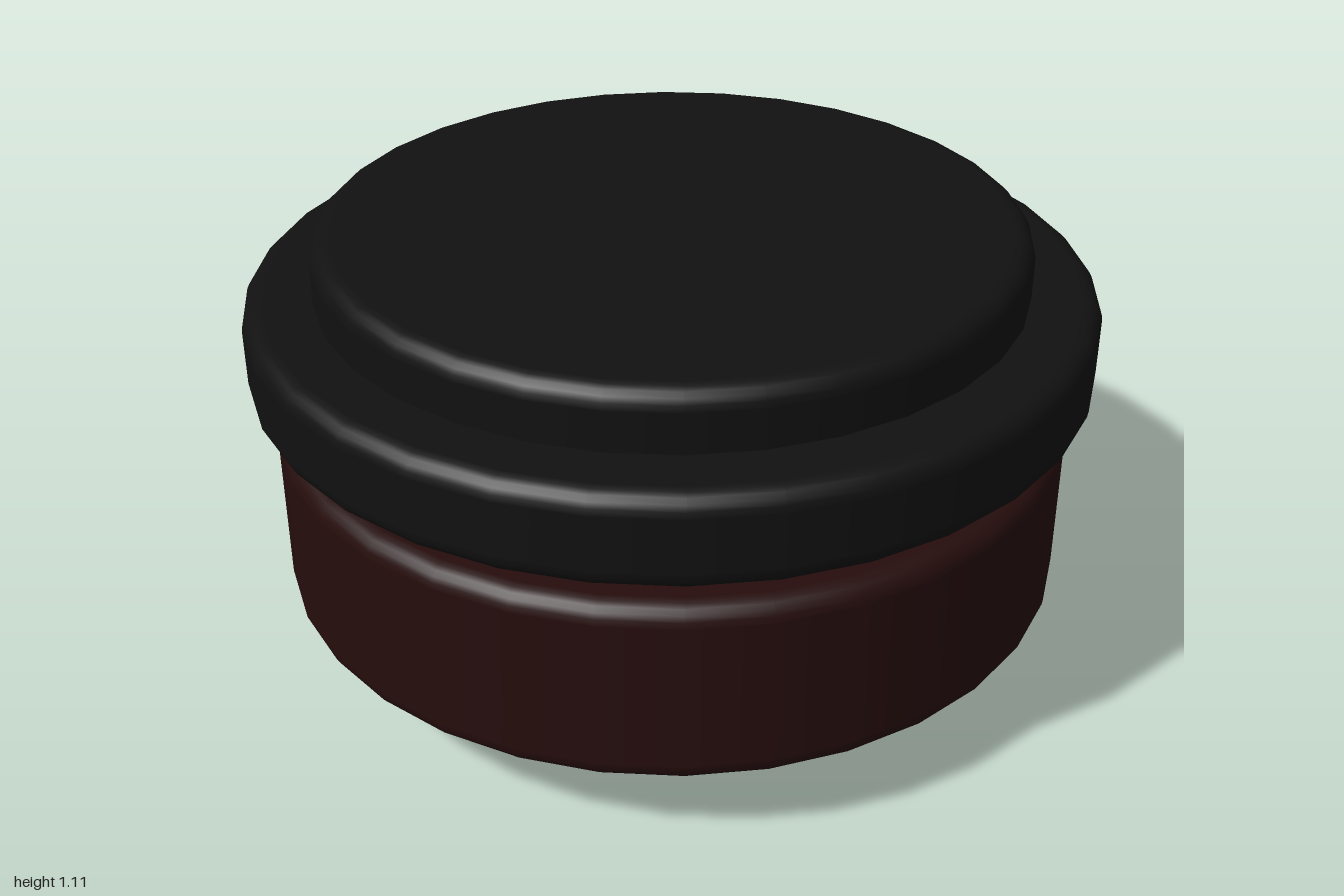
import * as THREE from 'three';

const SEGMENTS = 32;
const black = new THREE.MeshStandardMaterial({ color: 0x111111 });
const darkRed = new THREE.MeshStandardMaterial({ color: 0x260d0d });

// Solid disc with rounded rims, turned from a bottom-to-top profile
function roundedDisc(name, radius, bottom, top, round, material) {
  const support = 0.002; // extra points beside the arcs keep the flats flat
  const inner = radius - round;
  const points = [new THREE.Vector2(0, bottom), new THREE.Vector2(inner - support, bottom)];
  const arc = (centreY, start) => {
    for (let i = 0; i <= 5; i++) {
      const a = start + (i / 5) * Math.PI / 2;
      points.push(new THREE.Vector2(inner + round * Math.cos(a), centreY + round * Math.sin(a)));
    }
  };
  arc(bottom + round, -Math.PI / 2);
  points.push(new THREE.Vector2(radius, bottom + round + support));
  points.push(new THREE.Vector2(radius, top - round - support));
  arc(top - round, 0);
  points.push(new THREE.Vector2(inner - support, top), new THREE.Vector2(0, top));
  const mesh = new THREE.Mesh(new THREE.LatheGeometry(points, SEGMENTS), material);
  mesh.name = name;
  return mesh;
}

export function createModel() {
  const model = new THREE.Group();
  model.name = 'roundButton';

  // Central stem running up into the cap
  const stem = new THREE.Mesh(new THREE.CylinderGeometry(0.393, 0.393, 0.85, SEGMENTS), black);
  stem.position.y = 0.425;
  stem.name = 'stem';
  model.add(stem);

  // Coloured ring, wide flange and raised top
  model.add(roundedDisc('lowerDisc', 0.948, 0.213, 0.666, 0.045, darkRed));
  model.add(roundedDisc('flange', 1, 0.743, 0.966, 0.045, black));
  model.add(roundedDisc('topCap', 0.836, 0.88, 1.108, 0.045, black));

  return model;
}
